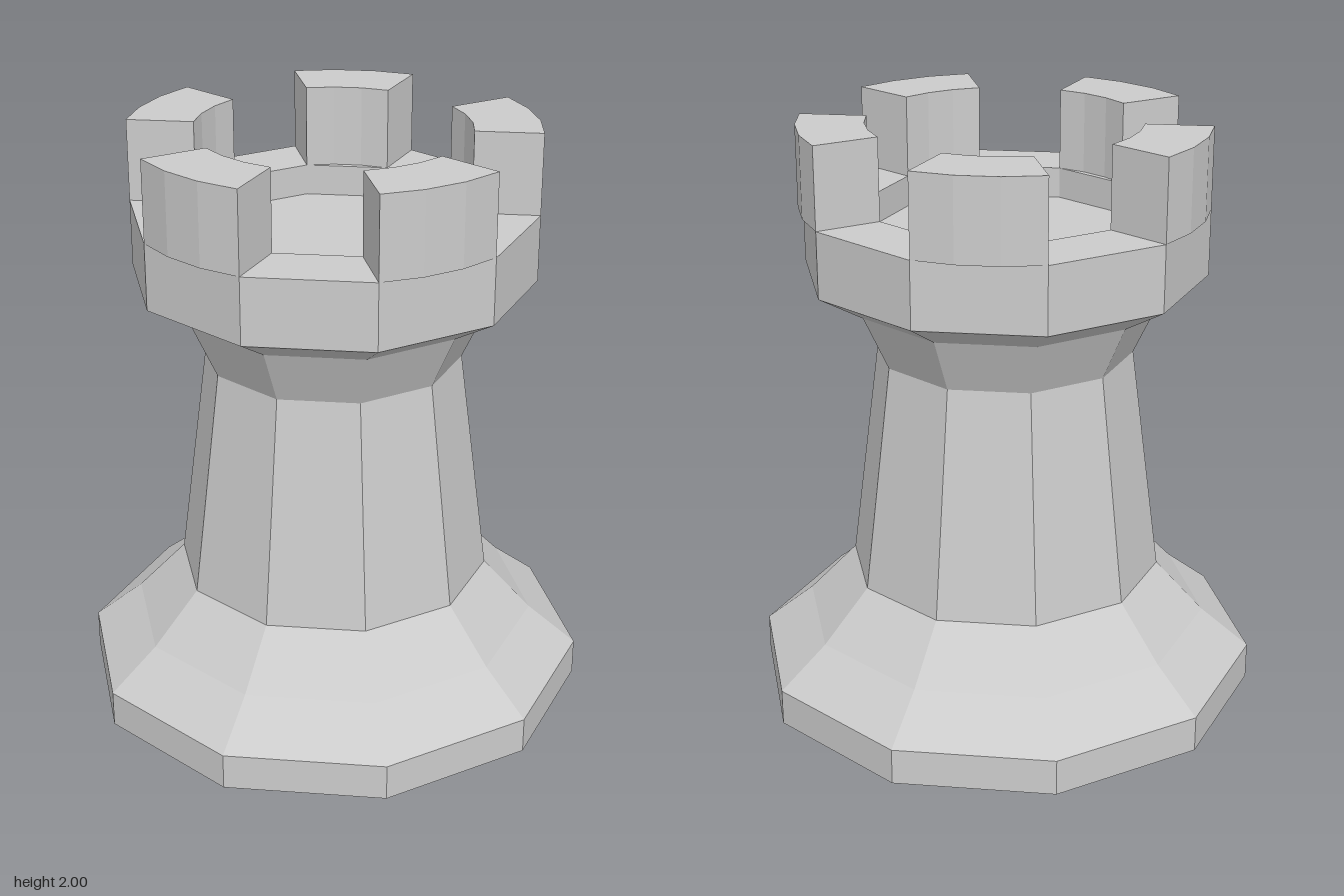
import * as THREE from 'three';

const SIDES = 10;
const STEP = (Math.PI * 2) / SIDES;
const OUTER = 0.675, INNER = 0.453; // parapet radii
const RIM_Y = 1.725, TOP_Y = 2, FLOOR_Y = 1.62;

const material = new THREE.MeshStandardMaterial({ color: 0xcccccc, flatShading: true });

// Ten-sided solid of revolution from [radius, height] pairs, listed bottom to top
function turned(name, profile) {
  const points = profile.map(([r, y]) => new THREE.Vector2(r, y));
  const mesh = new THREE.Mesh(new THREE.LatheGeometry(points, SIDES), material);
  mesh.name = name;
  return mesh;
}

// Curved block spanning one side of the decagon
function merlonGeometry() {
  const segments = 3;
  const points = [];
  const add = (r, a) => points.push(new THREE.Vector2(r * Math.sin(a), -r * Math.cos(a)));
  for (let i = 0; i <= segments; i++) add(OUTER, (STEP * i) / segments);
  for (let i = segments; i >= 0; i--) add(INNER, (STEP * i) / segments);
  const geometry = new THREE.ExtrudeGeometry(new THREE.Shape(points), {
    depth: TOP_Y - RIM_Y, bevelEnabled: false,
  });
  geometry.rotateX(-Math.PI / 2);
  geometry.translate(0, RIM_Y, 0);
  return geometry;
}

export function createModel() {
  const group = new THREE.Group();
  group.name = 'rook';

  // Foot with its flared skirt
  group.add(turned('base', [[0, 0], [0.866, 0], [0.866, 0.125], [0.7, 0.26], [0.536, 0.435]]));

  // Tapering shaft
  group.add(turned('shaft', [[0.536, 0.435], [0.434, 1.22]]));

  // Flared collar, rim and sunken floor
  group.add(turned('head', [
    [0.434, 1.22], [0.522, 1.41], [OUTER, 1.5], [OUTER, RIM_Y],
    [INNER, RIM_Y], [INNER, FLOOR_Y], [0, FLOOR_Y],
  ]));

  // Five merlons on alternate sides
  const battlements = new THREE.Group();
  battlements.name = 'battlements';
  const geometry = merlonGeometry();
  for (let i = 0; i < SIDES / 2; i++) {
    const merlon = new THREE.Mesh(geometry, material);
    merlon.name = `merlon${i + 1}`;
    merlon.rotation.y = i * 2 * STEP;
    battlements.add(merlon);
  }
  group.add(battlements);

  return group;
}
